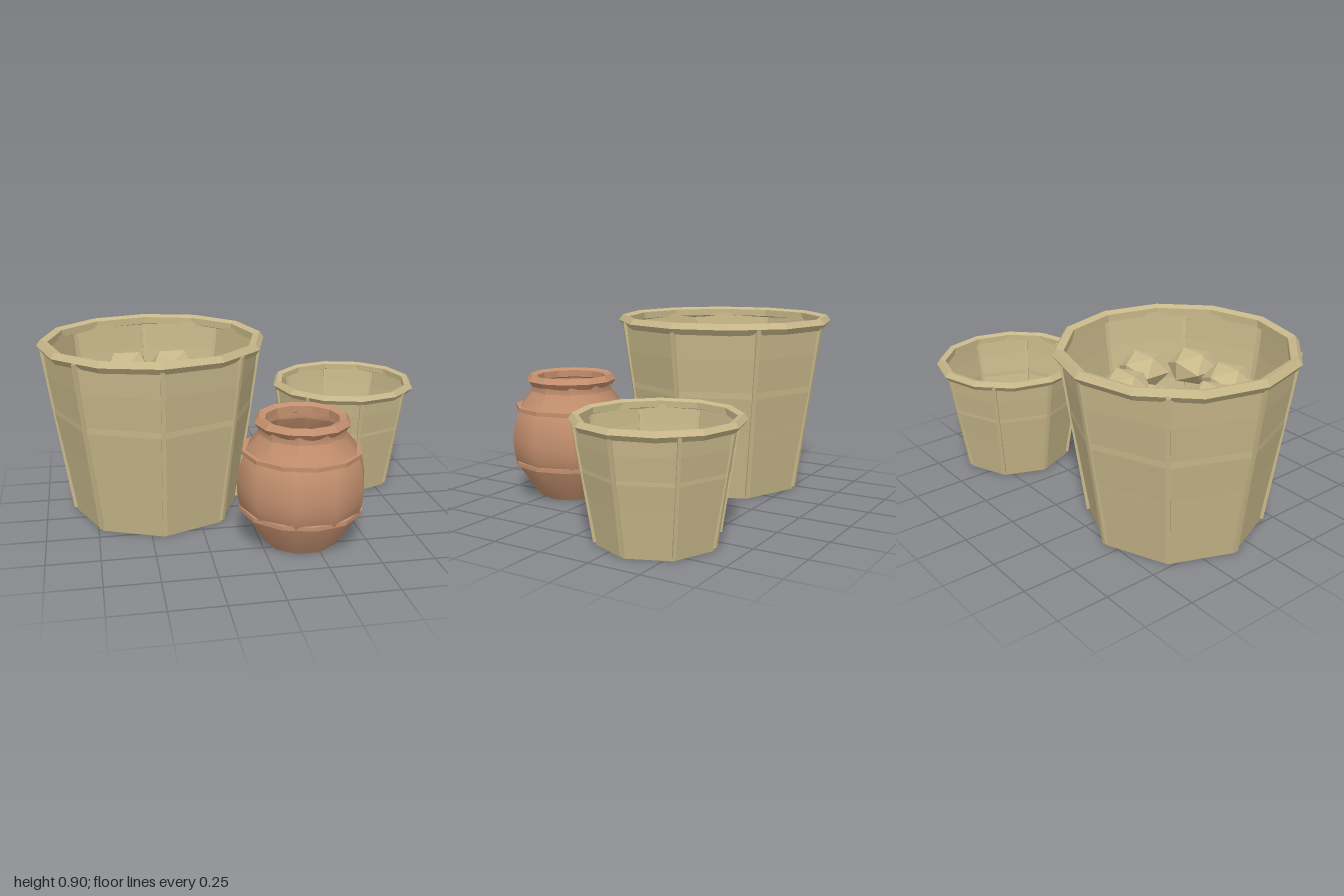
import * as THREE from 'three';
import { toCreasedNormals } from 'three/addons/utils/BufferGeometryUtils.js';

const material = (name, color) =>
  Object.assign(new THREE.MeshStandardMaterial({ color, side: THREE.DoubleSide }), { name });

// Faceted normals for low-poly parts
function faceted(geometry) {
  const g = geometry.index ? geometry.toNonIndexed() : geometry;
  g.computeVertexNormals();
  return g;
}

function addMesh(parent, name, geometry, mat, x = 0, y = 0, z = 0) {
  const mesh = new THREE.Mesh(geometry, mat);
  mesh.name = name;
  mesh.position.set(x, y, z);
  parent.add(mesh);
  return mesh;
}

const lathe = (points, sides, start = 0) =>
  new THREE.LatheGeometry(points.map(([r, y]) => new THREE.Vector2(r, y)), sides, start);

// Horizontal twelve-sided rim
const rimGeometry = (radius, tube) =>
  faceted(new THREE.TorusGeometry(radius, tube, 5, 12).rotateX(-Math.PI / 2));

// Flat floor polygon
const floorGeometry = (radius, sides, start = 0) =>
  faceted(new THREE.CircleGeometry(radius, sides, start).rotateX(-Math.PI / 2));

function createBasket(name, o, mats) {
  const basket = new THREE.Group();
  basket.name = name;
  const h = o.height, r0 = o.bottom, dr = o.top - o.bottom;

  // Eight-sided tapering wall with shallow woven steps, as fractions of height
  const steps = [[0, 0], [0.41, 0.375], [0.43, 0.395], [0.68, 0.605], [0.69, 0.64], [0.88, 0.83], [1, 1]];
  const profile = [[0, 0], ...steps.map(([f, t]) => [r0 + dr * f, h * t])];
  addMesh(basket, 'basketWall', faceted(lathe(profile, 8)), mats.wicker);
  addMesh(basket, 'basketFloor', floorGeometry(r0, 8), mats.floor, 0, 0.006, 0);
  addMesh(basket, 'basketRim', rimGeometry(o.rim, o.tube), mats.wicker, 0, o.rimY, 0);

  // Slanted stakes along the wall corners
  const length = Math.hypot(h, dr) - 0.015;
  for (let i = 0; i < 8; i++) {
    const stake = new THREE.Group();
    stake.name = 'stake';
    stake.rotation.y = (i * Math.PI) / 4;
    const rod = addMesh(stake, 'stakeRod', new THREE.BoxGeometry(o.stake, length, o.stake),
      mats.wicker, 0, h / 2 + 0.008, r0 + dr / 2 + 0.004);
    rod.rotation.x = Math.atan2(dr, h);
    basket.add(stake);
  }
  return basket;
}

function createPot(mats) {
  const pot = new THREE.Group();
  pot.name = 'clayPot';

  // Ten-sided rounded body with smooth shading
  const profile = [[0, 0], [0.17, 0], [0.285, 0.17], [0.303, 0.24], [0.307, 0.31], [0.295, 0.39],
    [0.27, 0.46], [0.205, 0.54], [0.212, 0.59]];
  addMesh(pot, 'potBody', toCreasedNormals(lathe(profile, 10, Math.PI / 2), 0.8), mats.clay);
  addMesh(pot, 'potFloor', floorGeometry(0.168, 10), mats.floor, 0, 0.006, 0);
  addMesh(pot, 'potRim', rimGeometry(0.197, 0.029), mats.clay, 0, 0.593, 0);

  // Raised bands around the body
  for (const [r, y] of [[0.283, 0.455], [0.295, 0.18]]) {
    const band = [[r - 0.024, -0.01], [r, -0.01], [r, 0.01], [r - 0.024, 0.01], [r - 0.024, -0.01]];
    addMesh(pot, 'potBand', faceted(lathe(band, 12)), mats.clay, 0, y, 0);
  }
  return pot;
}

export function createModel() {
  const mats = {
    wicker: material('wicker', 0xc8b88a),
    clay: material('clay', 0xc4906f),
    floor: material('floorBrown', 0x8b7560),
  };
  const model = new THREE.Group();
  model.name = 'basketsAndPot';

  const large = createBasket('largeBasket',
    { bottom: 0.41, top: 0.535, height: 0.865, rim: 0.53, tube: 0.03, rimY: 0.867, stake: 0.02 }, mats);
  large.position.set(-0.44, 0, -0.11);
  model.add(large);

  // Ring of six loaves in the large basket
  for (let i = 0; i < 6; i++) {
    const a = (i * Math.PI) / 3;
    const loaf = addMesh(large, 'loaf', faceted(new THREE.IcosahedronGeometry(0.125, 0)),
      mats.wicker, 0.235 * Math.cos(a), 0.69, 0.235 * Math.sin(a));
    loaf.scale.y = 0.7;
  }

  const small = createBasket('smallBasket',
    { bottom: 0.275, top: 0.362, height: 0.54, rim: 0.36, tube: 0.025, rimY: 0.541, stake: 0.016 }, mats);
  small.position.set(0.61, 0, -0.345);
  model.add(small);

  const pot = createPot(mats);
  pot.position.set(0.193, 0, 0.432);
  model.add(pot);
  return model;
}
